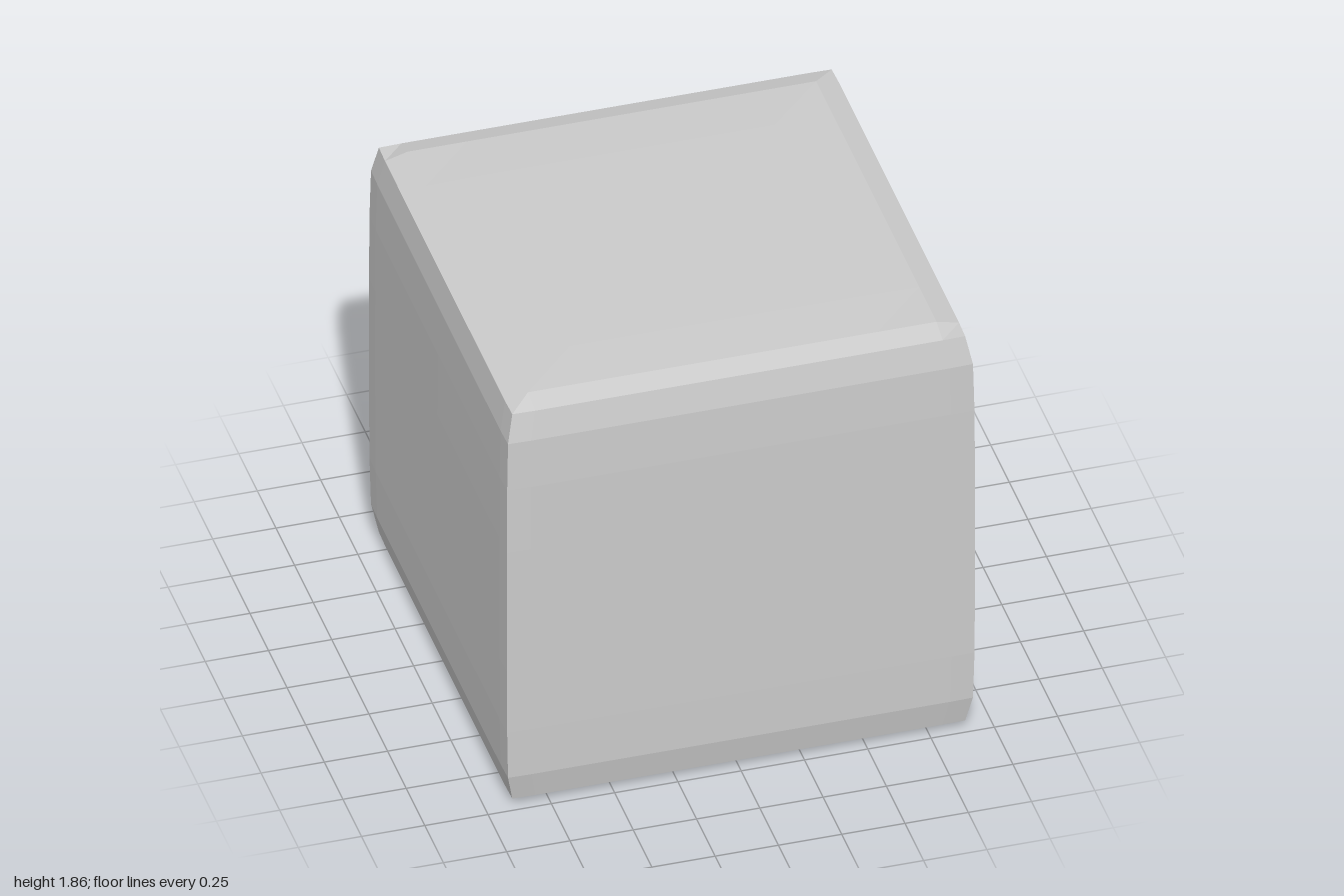
import * as THREE from 'three';

const material = new THREE.MeshStandardMaterial({ color: 0xcccccc, flatShading: true });

function addMesh(parent, name, geometry, x, y, z) {
  const mesh = new THREE.Mesh(geometry, material);
  mesh.name = name;
  mesh.position.set(x, y, z);
  parent.add(mesh);
  return mesh;
}

// Linear interpolation through [input, output] pairs
function lookup(pairs, t) {
  for (let i = 1; i < pairs.length; i++) {
    const [a, p] = pairs[i - 1], [b, q] = pairs[i];
    if (t <= b + 1e-6) return p + (q - p) * (t - a) / (b - a);
  }
  return pairs[pairs.length - 1][1];
}

// Cube whose walls pull in near the top and bottom, with gently crowned caps
function cushionGeometry(hx, hy, hz) {
  const geometry = new THREE.BoxGeometry(2, 2, 2, 8, 8, 8);
  const wideBreaks = [[0, 0], [0.25, 0.3], [0.5, 0.64], [0.75, 0.9], [1, 1]];
  const tallBreaks = [[0, 0], [0.25, 0.3], [0.5, 0.61], [0.75, 0.84], [1, 1]];
  const wallScale = [[0, 1], [0.3, 0.9995], [0.61, 0.998], [0.84, 0.993], [1, 0.967]];
  const capDrop = [[0, 0], [0.64, 0.001], [0.9, 0.006], [1, 0.03]];
  const cornerInset = [[0, 0], [0.9, 0.0005], [1, 0.003]];
  const spread = (pairs, t) => Math.sign(t) * lookup(pairs, Math.abs(t));
  const p = geometry.attributes.position;
  for (let i = 0; i < p.count; i++) {
    const u = spread(wideBreaks, p.getX(i));
    const v = spread(tallBreaks, p.getY(i));
    const w = spread(wideBreaks, p.getZ(i));
    const s = lookup(wallScale, Math.abs(v));
    const rim = Math.max(Math.abs(u), Math.abs(w));
    const drop = Math.abs(v) > 0.999 ? lookup(capDrop, rim) : 0;
    const x = u * (hx * s - lookup(cornerInset, Math.abs(w)));
    const z = w * (hz * s - lookup(cornerInset, Math.abs(u)));
    p.setXYZ(i, x, v * hy - Math.sign(v) * drop, z);
  }
  geometry.computeVertexNormals();
  return geometry;
}

export function createModel() {
  const model = new THREE.Group();
  model.name = 'boxWithHandle';

  addMesh(model, 'body', cushionGeometry(0.928, 0.93, 0.93), 0, 0.93, 0.07);

  // Handle on the back: a bar between two mounting blocks
  const handle = new THREE.Group();
  handle.name = 'handle';
  model.add(handle);
  addMesh(handle, 'handleBar', new THREE.BoxGeometry(0.922, 0.165, 0.15), 0, 1.0175, -0.925);
  for (const side of [-1, 1]) {
    addMesh(handle, 'handleMount', new THREE.BoxGeometry(0.232, 0.335, 0.15), side * 0.584, 0.9325, -0.925);
    // Pivot pin joins the bar to the mount and shows on the outer face
    const pin = addMesh(handle, 'pivotPin', new THREE.CylinderGeometry(0.046, 0.046, 0.27, 24), side * 0.573, 1.018, -0.93);
    pin.rotation.z = Math.PI / 2;
  }
  return model;
}
